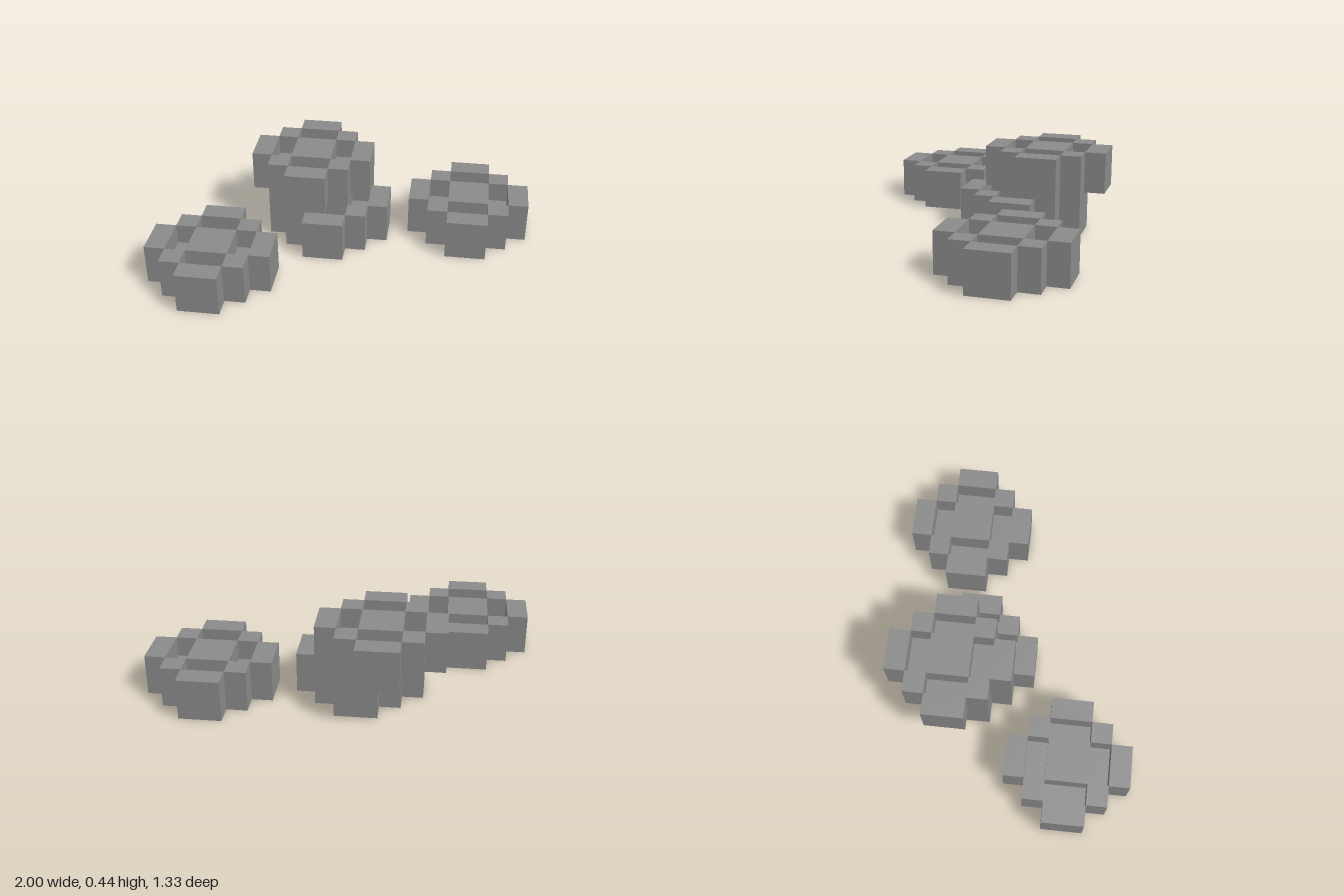
import * as THREE from 'three';

const U = 1 / 9; // one block unit

// Repeats a stepped corner four times around the centre
function steppedPoints(corner) {
  const points = [];
  for (let i = 0; i < 4; i++) {
    for (const [x, y] of corner) {
      let p = [x, y];
      for (let k = 0; k < i; k++) p = [-p[1], p[0]];
      points.push(new THREE.Vector2(p[0] * U, p[1] * U));
    }
  }
  return points;
}

function upright(shape, height) {
  const g = new THREE.ExtrudeGeometry(shape, { depth: height * U, bevelEnabled: false });
  return g.rotateX(-Math.PI / 2);
}

export function createModel() {
  const model = new THREE.Group();
  model.name = 'blockyStones';

  const stoneGrey = new THREE.MeshStandardMaterial({ color: 0x8a8a8a });
  stoneGrey.name = 'stoneGrey';

  const outline = steppedPoints([[3, 1], [2, 1], [2, 2], [1, 2], [1, 3]]);
  const inner = steppedPoints([[2, 1], [1, 1], [1, 2]]);

  // Outer rim with a cross-shaped opening
  const rimShape = new THREE.Shape(outline);
  rimShape.holes.push(new THREE.Path(inner));
  const rimGeometry = upright(rimShape, 2);

  // Floor of the recess, and the raised square in its middle
  const floorGeometry = upright(new THREE.Shape(inner), 1);
  const coreGeometry = new THREE.BoxGeometry(2 * U, U, 2 * U).translate(0, 1.5 * U, 0);

  function addStone(name, x, y, z) {
    const stone = new THREE.Group();
    stone.name = name;
    const parts = { rim: rimGeometry, recessFloor: floorGeometry, core: coreGeometry };
    for (const [part, geometry] of Object.entries(parts)) {
      const mesh = new THREE.Mesh(geometry, stoneGrey);
      mesh.name = part;
      stone.add(mesh);
    }
    stone.position.set(x * U, y * U, z * U);
    model.add(stone);
  }

  addStone('rightStone', -6, 0, 3);
  addStone('leftStone', 6, 0, -3);
  addStone('stackLowerStone', -1, 0, -2);
  addStone('stackUpperStone', -2, 2, -3);

  return model;
}
